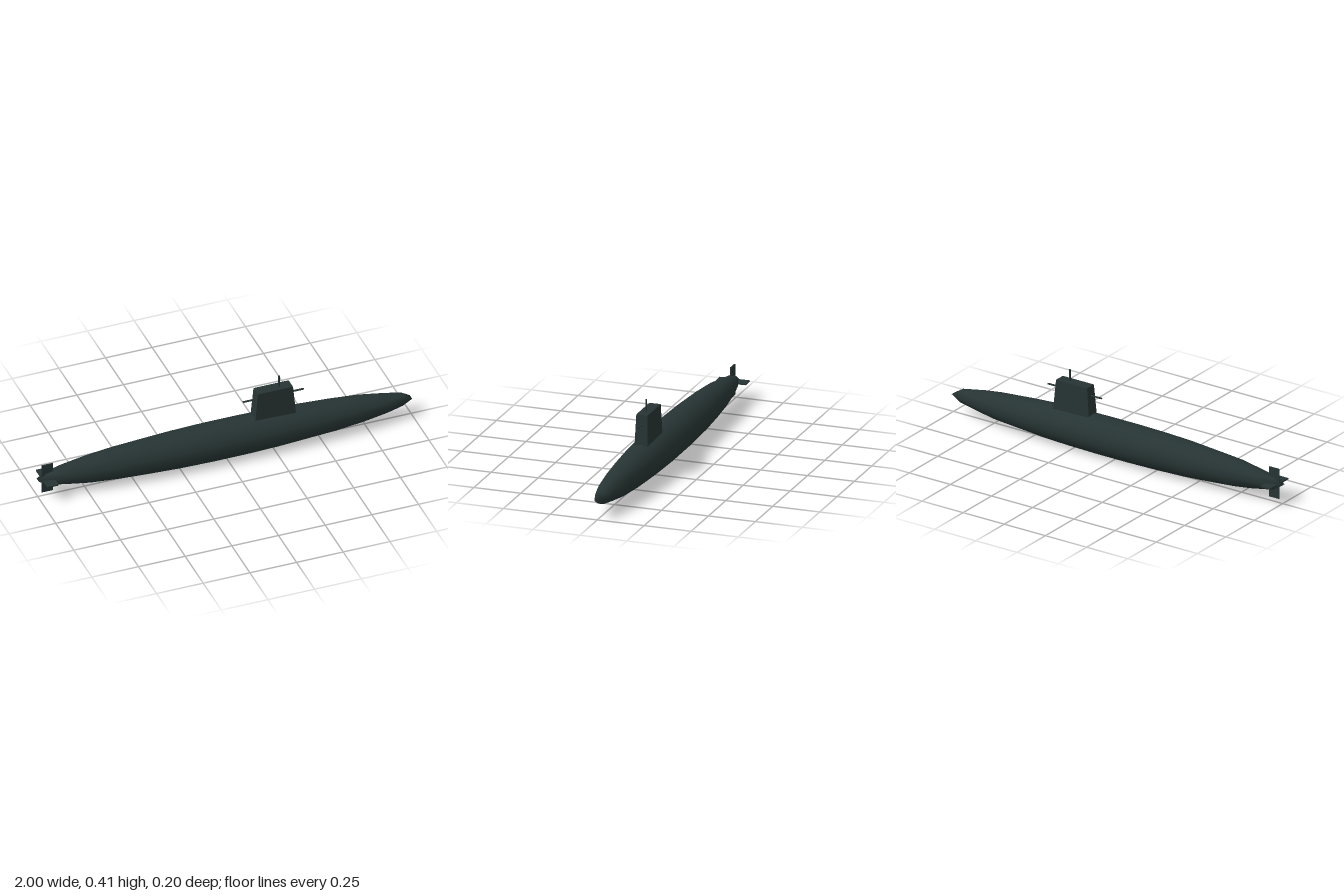
import * as THREE from 'three';

export function createModel() {
  const group = new THREE.Group();
  const paint = new THREE.MeshStandardMaterial({ color: 0x263433 });
  paint.name = 'dark hull paint';

  const add = (name, geometry, x, y, z) => {
    const mesh = new THREE.Mesh(geometry, paint);
    mesh.name = name;
    mesh.position.set(x, y, z);
    group.add(mesh);
    return mesh;
  };

  // Stretched ellipsoid hull, turned half a segment so bow and stern end in a short edge
  const sides = 20;
  const step = Math.PI / sides;
  const hull = new THREE.SphereGeometry(1, sides, 10, step);
  hull.scale(1 / Math.cos(step), 0.1, 0.101 / Math.cos(step));
  add('hull', hull, 0, 0.1, 0);

  // Sail: a box that narrows towards the top
  const sail = new THREE.BoxGeometry(0.222, 0.185, 0.07);
  const p = sail.attributes.position;
  for (let i = 0; i < p.count; i++) {
    if (p.getY(i) > 0) {
      p.setX(i, p.getX(i) * 0.85);
      p.setZ(i, p.getZ(i) * 0.86);
    }
  }
  sail.computeVertexNormals();
  add('sail', sail, 0.262, 0.2535, 0);

  // Flattened rod running fore and aft through the sail
  const rod = new THREE.CylinderGeometry(0.004, 0.004, 0.325, 12);
  rod.rotateZ(Math.PI / 2);
  rod.scale(1, 1, 1.5);
  add('sailRod', rod, 0.2625, 0.297, 0);

  // Periscope mast
  add('periscope', new THREE.CylinderGeometry(0.0045, 0.0045, 0.1, 12), 0.293, 0.358, 0);

  // Crossed tail fins
  add('verticalFin', new THREE.BoxGeometry(0.06, 0.162, 0.007), -0.949, 0.102, 0);
  add('horizontalFin', new THREE.BoxGeometry(0.06, 0.007, 0.16), -0.949, 0.102, 0);

  return group;
}
